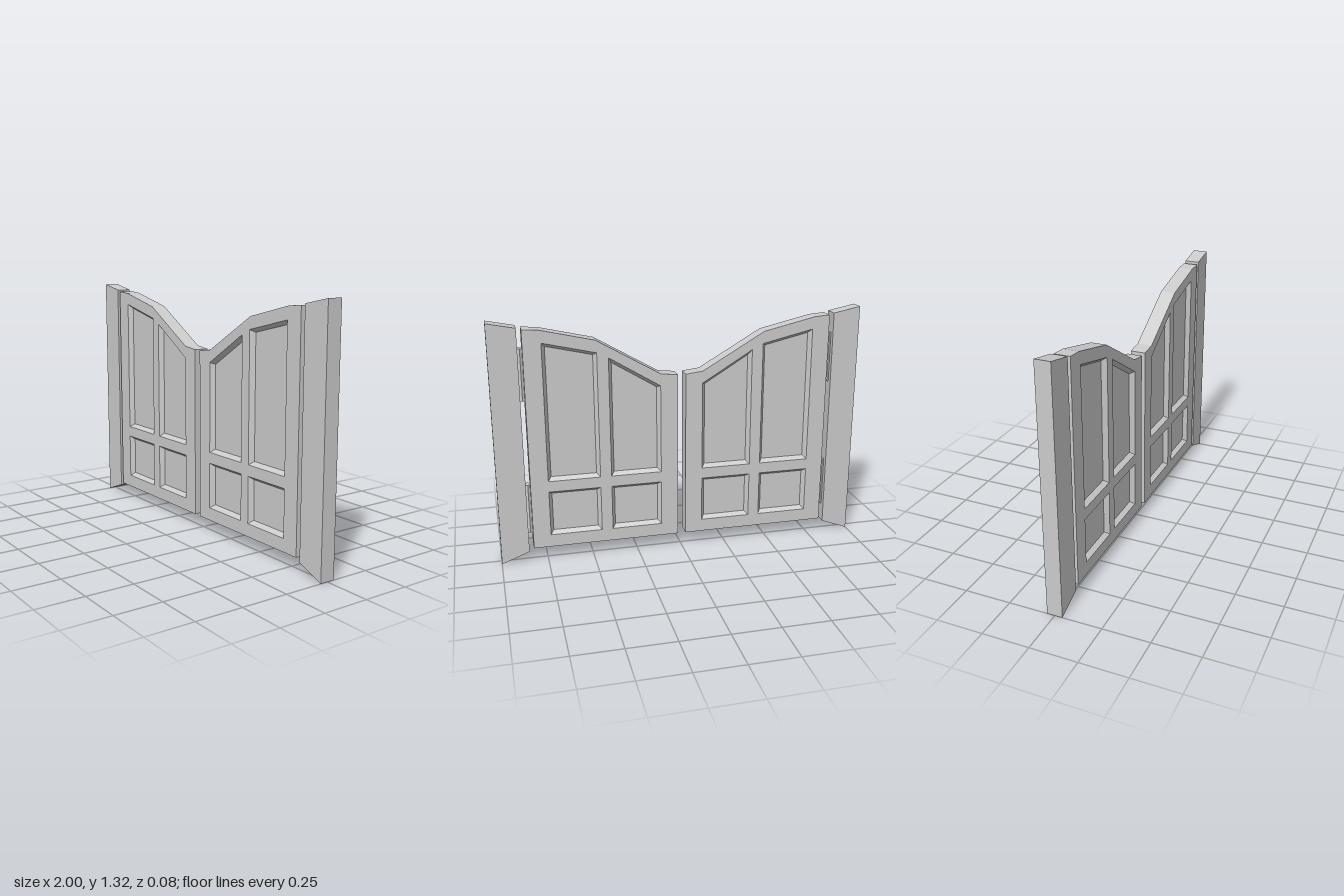
import * as THREE from 'three';
import { mergeGeometries } from 'three/addons/utils/BufferGeometryUtils.js';

const HALF = 0.041;   // half thickness of the gate
const DEPTH = 0.025;  // panel recess
const BEVEL = 0.018;  // width of the sloped panel edge

const mat = new THREE.MeshStandardMaterial({ color: 0xcccccc, flatShading: true });

function mesh(geo, name) {
  const m = new THREE.Mesh(geo, mat);
  m.name = name;
  return m;
}

// Counter-clockwise outline for the +x (side 1) or -x (side -1) half
function outline(points, side) {
  const loop = points.map(([x, y]) => new THREE.Vector2(x * side, y));
  return side < 0 ? loop.reverse() : loop;
}

// Polygon shrunk by an even margin
function inset(loop, d) {
  const n = loop.length;
  const normal = (a, b) => new THREE.Vector2(a.y - b.y, b.x - a.x).normalize();
  return loop.map((p, i) => {
    const n1 = normal(loop[(i + n - 1) % n], p);
    const n2 = normal(p, loop[(i + 1) % n]);
    return n1.clone().add(n2).multiplyScalar(d / (1 + n1.dot(n2))).add(p);
  });
}

// Wall between two matching loops at two depths
function wall(a, za, b, zb) {
  const pos = [];
  a.forEach((p, i) => {
    const j = (i + 1) % a.length;
    const A = [p.x, p.y, za], B = [a[j].x, a[j].y, za];
    const C = [b[j].x, b[j].y, zb], D = [b[i].x, b[i].y, zb];
    pos.push(...A, ...B, ...C, ...A, ...C, ...D);
  });
  const g = new THREE.BufferGeometry();
  g.setAttribute('position', new THREE.Float32BufferAttribute(pos, 3));
  g.computeVertexNormals();
  return g;
}

// Flat face at depth z, facing front or back
function face(loop, holes, z, front) {
  const shape = new THREE.Shape(loop);
  shape.holes = holes.map((h) => new THREE.Path(h));
  const g = new THREE.ShapeGeometry(shape);
  if (!front) g.setIndex(Array.from(g.index.array).reverse());
  g.translate(0, 0, z);
  const flat = g.toNonIndexed();
  flat.deleteAttribute('uv');
  flat.computeVertexNormals();
  return flat;
}

const LEAF = [[0.022, 0.075], [0.825, 0.075], [0.825, 1.278], [0.74, 1.272], [0.455, 1.206], [0.115, 1.008], [0.022, 0.997]];
const PANELS = [
  [[0.115, 0.145], [0.39, 0.145], [0.39, 0.395], [0.115, 0.395]],
  [[0.45, 0.145], [0.73, 0.145], [0.73, 0.395], [0.45, 0.395]],
  [[0.115, 0.455], [0.39, 0.455], [0.39, 1.11], [0.115, 0.942]],
  [[0.45, 0.455], [0.73, 0.455], [0.73, 1.205], [0.45, 1.14]],
];
const POST = [[0.85, 0.057], [1, 0], [1, 1.317], [0.85, 1.287]];

function makeLeaf(side) {
  const leaf = new THREE.Group();
  const edge = outline(LEAF, side);
  const openings = PANELS.map((p) => outline(p, side));

  // Frame with sloped edges around each opening, the same on both faces
  const parts = [
    face(edge, openings, HALF, true),
    face(edge, openings, -HALF, false),
    wall(edge, -HALF, edge, HALF),
  ];
  const floor = HALF - DEPTH;
  const panels = [];
  for (const o of openings) {
    const inner = inset(o, BEVEL);
    parts.push(wall(o, HALF, inner, floor), wall(inner, -floor, o, -HALF));
    panels.push(mergeGeometries([face(inner, [], floor, true), face(inner, [], -floor, false)]));
  }
  leaf.add(mesh(mergeGeometries(parts), 'leafFrame'));
  panels.forEach((g) => leaf.add(mesh(g, 'recessedPanel')));
  return leaf;
}

export function createModel() {
  const gate = new THREE.Group();
  gate.name = 'gate';
  for (const side of [1, -1]) {
    const prefix = side > 0 ? 'left' : 'right';

    const leaf = makeLeaf(side);
    leaf.name = prefix + 'Leaf';
    gate.add(leaf);

    // Gate post with slanted ends
    const post = new THREE.ExtrudeGeometry(new THREE.Shape(outline(POST, side)), { depth: 2 * HALF, bevelEnabled: false });
    post.translate(0, 0, -HALF);
    gate.add(mesh(post, prefix + 'Post'));

    // Hinge barrels in the gap
    for (const y of [0.298, 1.038]) {
      const hinge = mesh(new THREE.CylinderGeometry(0.021, 0.021, 0.276, 6), prefix + 'Hinge');
      hinge.position.set(side * 0.8375, y, 0);
      gate.add(hinge);
    }
  }
  return gate;
}
